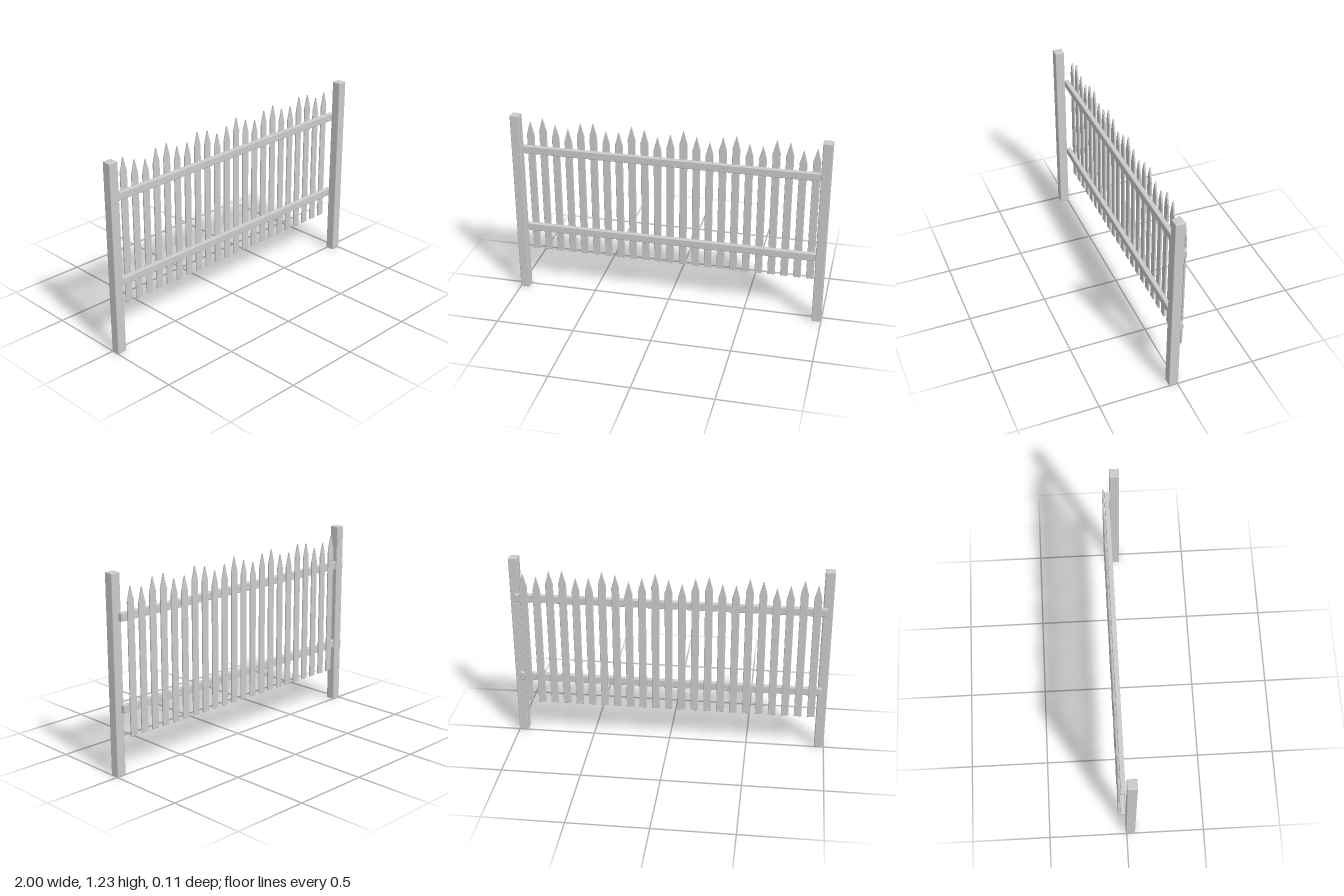
import * as THREE from 'three';
import { RoundedBoxGeometry } from 'three/addons/geometries/RoundedBoxGeometry.js';

const material = new THREE.MeshStandardMaterial({ color: 0xcccccc });

function beam(name, w, h, d, x, y, z) {
  const mesh = new THREE.Mesh(new RoundedBoxGeometry(w, h, d, 2, 0.005), material);
  mesh.name = name;
  mesh.position.set(x, y, z);
  return mesh;
}

// Flat board with a pointed top and slightly softened edges
function picket(bottom, tip) {
  const bevel = 0.002, half = 0.024 - bevel, shoulder = tip - 0.09;
  const shape = new THREE.Shape([
    new THREE.Vector2(-half, bottom + bevel),
    new THREE.Vector2(half, bottom + bevel),
    new THREE.Vector2(half, shoulder),
    new THREE.Vector2(0, tip - bevel * 2),
    new THREE.Vector2(-half, shoulder),
  ]);
  const geometry = new THREE.ExtrudeGeometry(shape, {
    depth: 0.007, bevelEnabled: true, bevelSize: bevel, bevelThickness: bevel, bevelSegments: 1,
  });
  geometry.translate(0, 0, -0.0035);
  const mesh = new THREE.Mesh(geometry, material);
  mesh.name = 'picket';
  return mesh;
}

export function createModel() {
  const fence = new THREE.Group();
  fence.name = 'picketFence';

  // Square end posts
  for (const side of [-1, 1]) {
    const name = side > 0 ? 'leftPost' : 'rightPost';
    fence.add(beam(name, 0.06, 1.225, 0.06, side * 0.97, 0.6125, 0.024));
  }

  // Horizontal rails fixed to the back of the posts
  fence.add(beam('lowerRail', 1.93, 0.05, 0.03, 0, 0.422, -0.025));
  fence.add(beam('upperRail', 1.93, 0.05, 0.03, 0, 0.972, -0.025));

  // Pickets behind the rails, their heights varying in a wave
  const pickets = new THREE.Group();
  pickets.name = 'pickets';
  const count = 23, spacing = 0.0822;
  for (let i = 0; i < count; i++) {
    const board = picket(0.25, 1.157 + 0.03 * Math.sin(i * 1.7));
    board.position.set((i - (count - 1) / 2) * spacing, 0, -0.0485);
    pickets.add(board);
  }
  fence.add(pickets);
  return fence;
}
